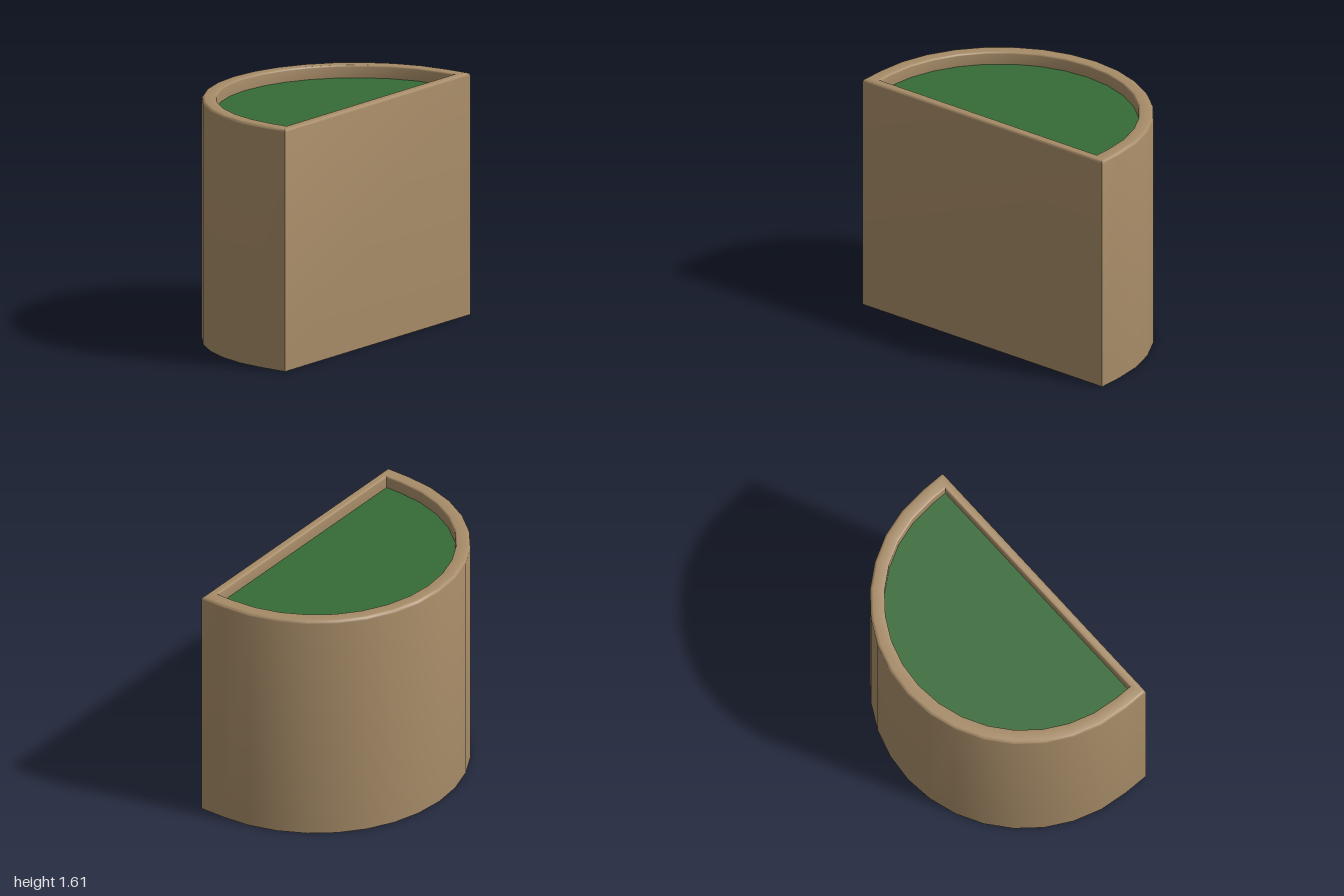
import * as THREE from 'three';
import { toCreasedNormals } from 'three/addons/utils/BufferGeometryUtils.js';

const SEGMENTS = 16;
const ARC_Z = 0.41; // centre of the half circle

// Closed D-shaped loop: half circle at the back, flat edge at the front.
function outline(radius, frontZ, y) {
  const loop = [new THREE.Vector3(radius, y, frontZ)];
  for (let i = 0; i <= SEGMENTS; i++) {
    const a = (i / SEGMENTS) * Math.PI;
    loop.push(new THREE.Vector3(radius * Math.cos(a), y, ARC_Z - radius * Math.sin(a)));
  }
  loop.push(new THREE.Vector3(-radius, y, frontZ));
  return loop;
}

function toGeometry(triangles) {
  const geometry = new THREE.BufferGeometry().setFromPoints(triangles);
  geometry.computeVertexNormals();
  return toCreasedNormals(geometry, 0.65);
}

// Triangles that fill one loop, facing up or down.
function cap(loop, up) {
  const tris = [];
  for (let i = 1; i < loop.length - 1; i++) {
    tris.push(loop[0], ...(up ? [loop[i], loop[i + 1]] : [loop[i + 1], loop[i]]));
  }
  return tris;
}

// Triangles that join consecutive loops.
function skin(loops) {
  const tris = [];
  for (let j = 0; j < loops.length - 1; j++) {
    const lower = loops[j], upper = loops[j + 1], n = lower.length;
    for (let i = 0; i < n; i++) {
      const k = (i + 1) % n;
      tris.push(lower[i], lower[k], upper[k], lower[i], upper[k], upper[i]);
    }
  }
  return tris;
}

export function createModel() {
  const clay = new THREE.MeshStandardMaterial({ color: 0xa68b67 });
  clay.name = 'clay';
  const green = new THREE.MeshStandardMaterial({ color: 0x366b36 });
  green.name = 'green';

  const height = 1.61, fillY = 1.525;
  const outerR = 1, outerZ = 0.585, innerR = 0.905, innerZ = 0.525;
  const outerBevel = 0.02, innerBevel = 0.012, steps = 3;

  // Wall profile: up the outside, over the rounded rim, down the inside
  const loops = [outline(outerR, outerZ, 0)];
  for (let s = 0; s <= steps; s++) {
    const a = (s / steps) * Math.PI / 2;
    const inset = outerBevel * (1 - Math.cos(a));
    loops.push(outline(outerR - inset, outerZ - inset, height - outerBevel * (1 - Math.sin(a))));
  }
  for (let s = 0; s <= steps; s++) {
    const a = (s / steps) * Math.PI / 2;
    const outset = innerBevel * (1 - Math.sin(a));
    loops.push(outline(innerR + outset, innerZ + outset, height - innerBevel * (1 - Math.cos(a))));
  }
  loops.push(outline(innerR, innerZ, fillY));

  const planter = new THREE.Mesh(toGeometry([...skin(loops), ...cap(loops[0], false)]), clay);
  planter.name = 'planterWall';

  // Flat green filling set just below the rim
  const filling = new THREE.Mesh(toGeometry(cap(outline(innerR, innerZ, fillY), true)), green);
  filling.name = 'greenFilling';

  const group = new THREE.Group();
  group.name = 'halfRoundPlanter';
  group.add(planter, filling);
  return group;
}
